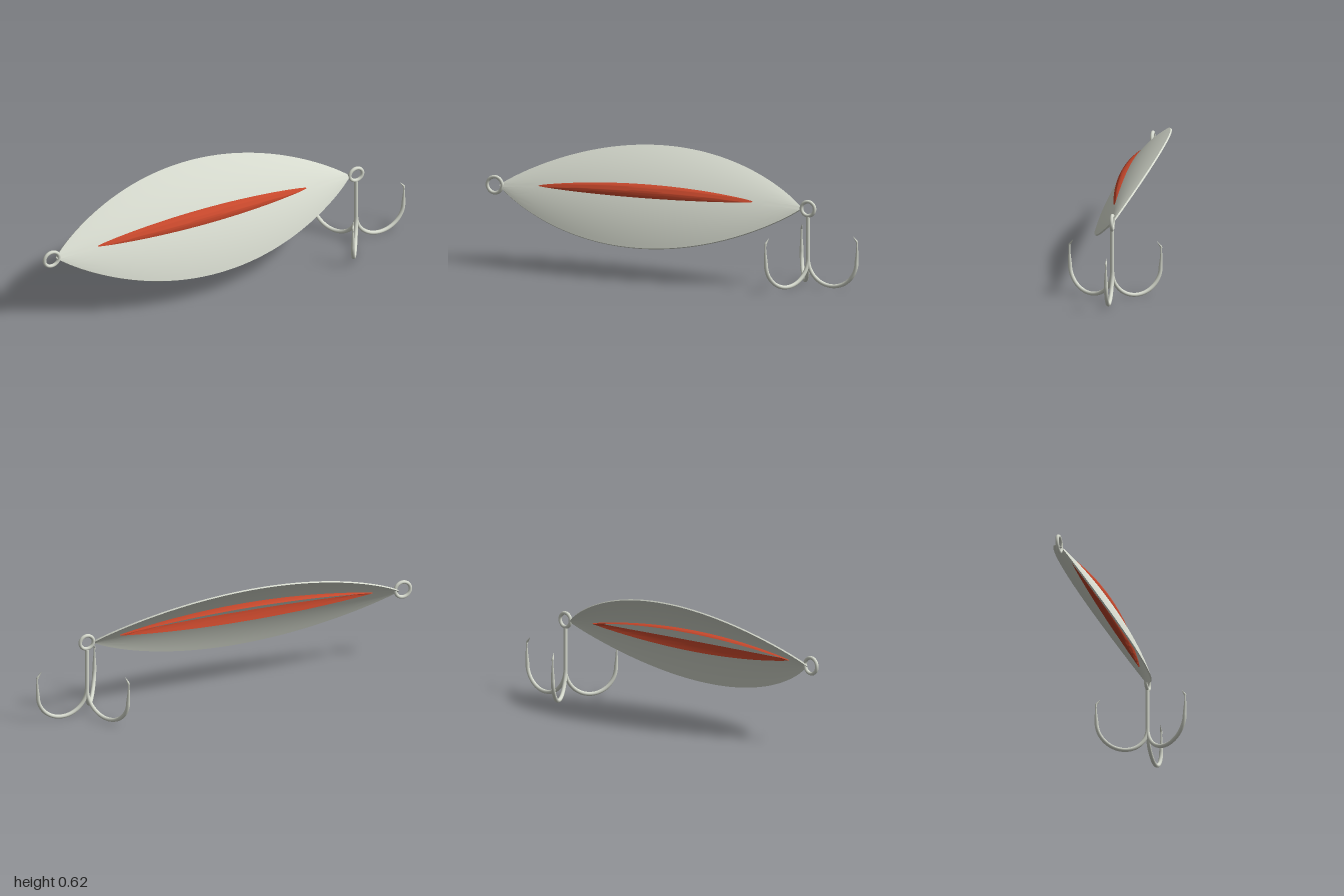
import * as THREE from 'three';
import { toCreasedNormals } from 'three/addons/utils/BufferGeometryUtils.js';

const silver = new THREE.MeshStandardMaterial({ color: 0xd6dace });
silver.name = 'silver';
const red = new THREE.MeshStandardMaterial({ color: 0xc8482c });
red.name = 'red';

function add(parent, name, geometry, material) {
  const mesh = new THREE.Mesh(geometry, material);
  mesh.name = name;
  parent.add(mesh);
  return mesh;
}

// Thin leaf-shaped shell, domed toward +z, built from closed cross-sections along x
function leafShell(halfLength, halfWidth, dome, thickness, power) {
  const rows = 64, m = 28, loop = 2 * (m + 1);
  const pos = [], index = [];
  for (let i = 0; i <= rows; i++) {
    const u = -Math.cos((Math.PI * i) / rows);
    const f = Math.max(0, 1 - u * u);
    const w = halfWidth * Math.pow(f, power);
    for (let j = 0; j < loop; j++) {
      const outer = j <= m;
      const s = outer ? -1 + (2 * j) / m : 1 - (2 * (j - m - 1)) / m;
      const n = dome * f * (1 - s * s) + (outer ? 0.5 : -0.5) * thickness;
      pos.push(u * halfLength, s * w, n);
    }
  }
  for (let i = 0; i < rows; i++) {
    for (let j = 0; j < loop; j++) {
      const k = (j + 1) % loop;
      const a = i * loop + j, b = a + loop, c = (i + 1) * loop + k, d = i * loop + k;
      index.push(a, b, c, a, c, d);
    }
  }
  const geo = new THREE.BufferGeometry();
  geo.setAttribute('position', new THREE.Float32BufferAttribute(pos, 3));
  geo.setIndex(index);
  return toCreasedNormals(geo, 0.7);
}

// Tube whose radius follows a rule along its length
function taperedTube(path, segments, sides, radiusAt) {
  const geo = new THREE.TubeGeometry(path, segments, 1, sides, false);
  const p = geo.attributes.position, v = new THREE.Vector3();
  for (let i = 0; i <= segments; i++) {
    const c = path.getPointAt(i / segments);
    const r = radiusAt(c, i / segments);
    for (let j = 0; j <= sides; j++) {
      const k = i * (sides + 1) + j;
      v.fromBufferAttribute(p, k).sub(c).multiplyScalar(r).add(c);
      p.setXYZ(k, v.x, v.y, v.z);
    }
  }
  return geo;
}

// One hook arm: semicircular bend, rising wire and inward-bent point
function hookArm() {
  const path = new THREE.CurvePath();
  const bend = [];
  for (let i = 0; i <= 24; i++) {
    const a = Math.PI * (1 + i / 24);
    bend.push(new THREE.Vector3(0.13 + 0.13 * Math.cos(a), 0.14 + 0.13 * Math.sin(a), 0));
  }
  bend.push(new THREE.Vector3(0.263, 0.19, 0), new THREE.Vector3(0.263, 0.24, 0));
  path.add(new THREE.CatmullRomCurve3(bend));
  path.add(new THREE.LineCurve3(bend[bend.length - 1], new THREE.Vector3(0.241, 0.268, 0)));
  return taperedTube(path, 90, 12, (c) => {
    if (c.x < 0.2 || c.y < 0.14) return 0.01;
    if (c.y < 0.225) return THREE.MathUtils.mapLinear(c.y, 0.14, 0.225, 0.01, 0.0035);
    if (c.y < 0.241) return THREE.MathUtils.mapLinear(c.y, 0.225, 0.241, 0.0035, 0.006);
    return Math.max(0.0006, THREE.MathUtils.mapLinear(c.y, 0.241, 0.268, 0.006, 0.0006));
  });
}

export function createModel() {
  const model = new THREE.Group();
  model.name = 'fishingSpoon';

  // Tilted blade with a red shell cutting through it as a ridge
  const body = new THREE.Group();
  body.name = 'body';
  body.position.set(-0.117, 0.387, -0.003);
  body.rotation.x = -0.655;
  model.add(body);
  add(body, 'blade', leafShell(0.81, 0.287, 0.056, 0.008, 0.9), silver);
  const ridge = add(body, 'ridge', leafShell(0.67, 0.071, 0.0615, 0.006, 0.95), red);
  ridge.position.set(-0.006, 0, 0.0125);

  // Rings at both tips
  for (const [name, x, radius] of [['frontRing', -0.951, 0.04], ['hookRing', 0.727, 0.035]]) {
    add(model, name, new THREE.TorusGeometry(radius, 0.009, 12, 40), silver).position.set(x, 0.389, 0);
  }

  // Treble hook
  const hook = new THREE.Group();
  hook.name = 'trebleHook';
  hook.position.x = 0.727;
  model.add(hook);
  add(hook, 'shank', new THREE.CylinderGeometry(0.01, 0.01, 0.215, 16), silver).position.y = 0.2425;
  const arm = hookArm();
  for (let i = 0; i < 3; i++) {
    add(hook, 'hookArm' + (i + 1), arm, silver).rotation.y = (i * Math.PI * 2) / 3;
  }
  return model;
}
